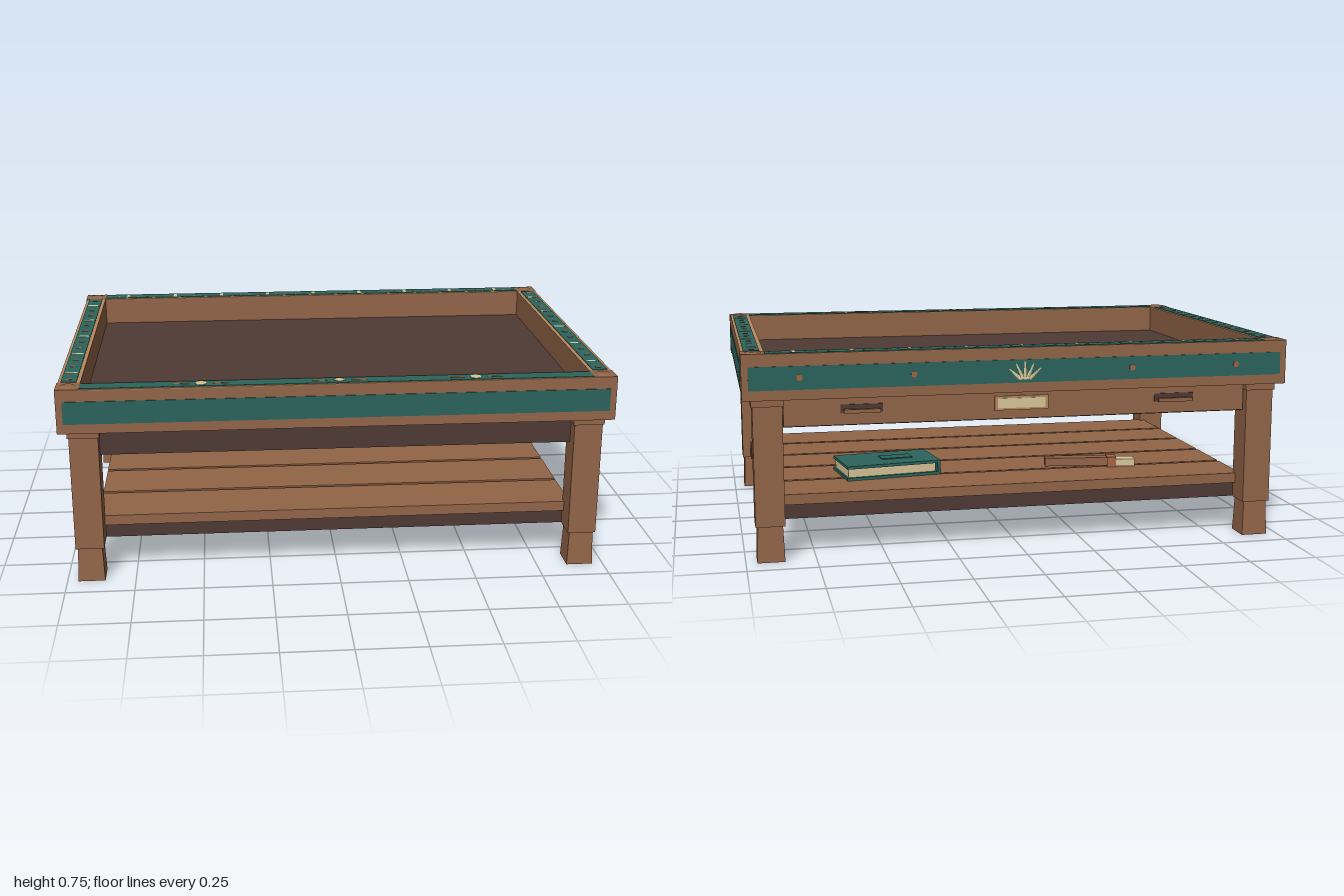
import * as THREE from 'three';

const mat = (name, color) => Object.assign(new THREE.MeshStandardMaterial({ color }), { name });

export function createModel() {
  const root = new THREE.Group();
  root.name = 'gameTable';
  const wood = mat('wood', 0x926548);
  const dark = mat('darkWood', 0x4f3a35);
  const green = mat('green', 0x2b645c);
  const trim = mat('paleWood', 0xb88a5e);
  const cream = mat('cream', 0xd6c698);
  const copper = mat('copper', 0xa8623f);

  const add = (name, geo, m, x, y, z, parent = root) => {
    const mesh = new THREE.Mesh(geo, m);
    mesh.name = name;
    mesh.position.set(x, y, z);
    parent.add(mesh);
    return mesh;
  };
  const box = (name, m, w, h, d, x, y, z, parent) =>
    add(name, new THREE.BoxGeometry(w, h, d), m, x, y, z, parent);

  // Playing bed and the closed box below it
  box('bed', dark, 1.86, 0.04, 1.25, 0, 0.62, 0);
  box('apron', dark, 1.82, 0.125, 1.22, 0, 0.5375, 0);

  // Rails with inlaid tops and outer panels
  for (const s of [-1, 1]) {
    box('longRail', wood, 1.83, 0.16, 0.08, 0, 0.665, s * 0.65);
    box('longRailTrim', trim, 1.83, 0.003, 0.08, 0, 0.7455, s * 0.65);
    box('longRailInlay', green, 1.83, 0.004, 0.06, 0, 0.747, s * 0.652);
    box('longPanel', green, 1.95, 0.083, 0.004, 0, 0.662, s * 0.691);

    box('shortRail', wood, 0.08, 0.16, 1.22, s * 0.955, 0.665, 0);
    box('shortRailTrim', trim, 0.08, 0.003, 1.22, s * 0.955, 0.7455, 0);
    box('shortRailInlay', green, 0.056, 0.004, 1.2, s * 0.957, 0.747, 0);
    box('shortPanel', green, 0.004, 0.08, 1.22, s * 0.998, 0.662, 0);
  }

  // Corner blocks and legs
  for (const sx of [-1, 1]) for (const sz of [-1, 1]) {
    box('cornerBlock', wood, 0.083, 0.163, 0.083, sx * 0.9565, 0.6665, sz * 0.6485);
    add('cornerButton', new THREE.CylinderGeometry(0.022, 0.03, 0.004, 16), wood, sx * 0.955, 0.75, sz * 0.65);
    const leg = new THREE.Group();
    leg.name = 'leg';
    leg.position.set(sx * 0.911, 0, sz * 0.61);
    root.add(leg);
    box('legCapital', wood, 0.114, 0.026, 0.114, 0, 0.572, 0, leg);
    box('legPost', wood, 0.104, 0.43, 0.104, 0, 0.345, 0, leg);
    const foot = new THREE.CylinderGeometry(0.088 / Math.SQRT2, 0.098 / Math.SQRT2, 0.13, 4).toNonIndexed();
    foot.rotateY(Math.PI / 4);
    foot.computeVertexNormals();
    add('foot', foot, wood, 0, 0.065, 0, leg);
  }

  // Scale marks on the back rail: long marks with four short ones between
  for (let i = -22; i <= 22; i++) {
    const x = i * 0.0408, long = i % 5 === 0;
    box(long ? 'longMark' : 'shortMark', long ? cream : copper,
      long ? 0.014 : 0.007, 0.003, long ? 0.044 : 0.02, x, 0.7488, long ? -0.648 : -0.639);
  }
  // Marks on the side rails
  for (const s of [-1, 1]) for (let i = -7; i <= 7; i++) {
    const long = i % 3 === 0;
    box(long ? 'longMark' : 'shortMark', long ? cream : copper,
      long ? 0.044 : 0.02, 0.003, 0.012, s * 0.957, 0.7488, i * 0.0817);
  }
  // Diamonds and dashes on the front rail
  for (const x of [-0.49, 0, 0.49]) {
    add('railSpot', new THREE.CylinderGeometry(0.021, 0.021, 0.003, x ? 8 : 4), cream, x, 0.7488, 0.652);
    for (const s of [-1, 1]) box('railDash', copper, 0.055, 0.003, 0.009, x + s * 0.07, 0.7488, 0.652);
  }

  // Back panel: studs and a fan of five leaves
  for (const x of [-0.8, -0.4, 0.4, 0.8]) {
    const stud = add('stud', new THREE.CylinderGeometry(0.011, 0.011, 0.005, 12), copper, x, 0.663, -0.694);
    stud.rotation.x = Math.PI / 2;
  }
  const fan = new THREE.Group();
  fan.name = 'fan';
  fan.position.set(0, 0.63, -0.694);
  root.add(fan);
  for (let i = -2; i <= 2; i++) {
    const leaf = new THREE.CylinderGeometry(0.002, 0.008, 0.065 - Math.abs(i) * 0.004, 6);
    leaf.scale(1, 1, 0.3);
    leaf.translate(0, 0.034, 0);
    add('fanLeaf', leaf, cream, i * 0.006, 0, 0, fan).rotation.z = -i * 0.42;
  }

  // Drawer front with plate and two pulls
  box('drawerFront', wood, 1.71, 0.1, 0.035, 0, 0.532, -0.622);
  box('plateFrame', trim, 0.2, 0.052, 0.006, 0, 0.54, -0.642);
  box('plate', cream, 0.176, 0.036, 0.006, 0, 0.54, -0.645);
  for (const x of [-0.58, 0.58]) {
    box('pullBacking', dark, 0.15, 0.03, 0.004, x, 0.54, -0.641);
    box('pullBar', wood, 0.13, 0.014, 0.012, x, 0.533, -0.659);
    for (const s of [-1, 1]) box('pullPost', wood, 0.014, 0.014, 0.02, x + s * 0.055, 0.533, -0.648);
  }

  // Shelf: two stretchers carrying five slats
  for (const s of [-1, 1]) box('stretcher', dark, 1.86, 0.067, 0.05, 0, 0.1645, s * 0.535);
  for (let i = -2; i <= 2; i++) box('slat', wood, 1.76, 0.038, 0.22, 0, 0.206, i * 0.2355);

  // Book
  const book = new THREE.Group();
  book.name = 'book';
  book.position.set(0.445, 0.225, -0.2825);
  book.rotation.y = 0.14;
  root.add(book);
  box('bottomCover', green, 0.365, 0.011, 0.22, 0, 0.006, 0, book);
  box('pages', cream, 0.34, 0.036, 0.2, 0.006, 0.028, 0, book);
  box('topCover', green, 0.365, 0.011, 0.22, 0, 0.05, 0, book);
  box('spine', green, 0.012, 0.045, 0.22, -0.1765, 0.028, 0, book);
  box('coverPanel', green, 0.12, 0.004, 0.06, -0.035, 0.057, 0, book);

  // Brush
  const brush = new THREE.Group();
  brush.name = 'brush';
  brush.position.set(-0.345, 0.225, -0.345);
  brush.rotation.y = -0.15;
  root.add(brush);
  box('brushHandle', wood, 0.26, 0.032, 0.045, 0.045, 0.022, 0, brush);
  box('brushFerrule', copper, 0.035, 0.04, 0.06, -0.085, 0.021, 0, brush);
  box('bristles', cream, 0.075, 0.028, 0.055, -0.138, 0.018, 0, brush);

  return root;
}
